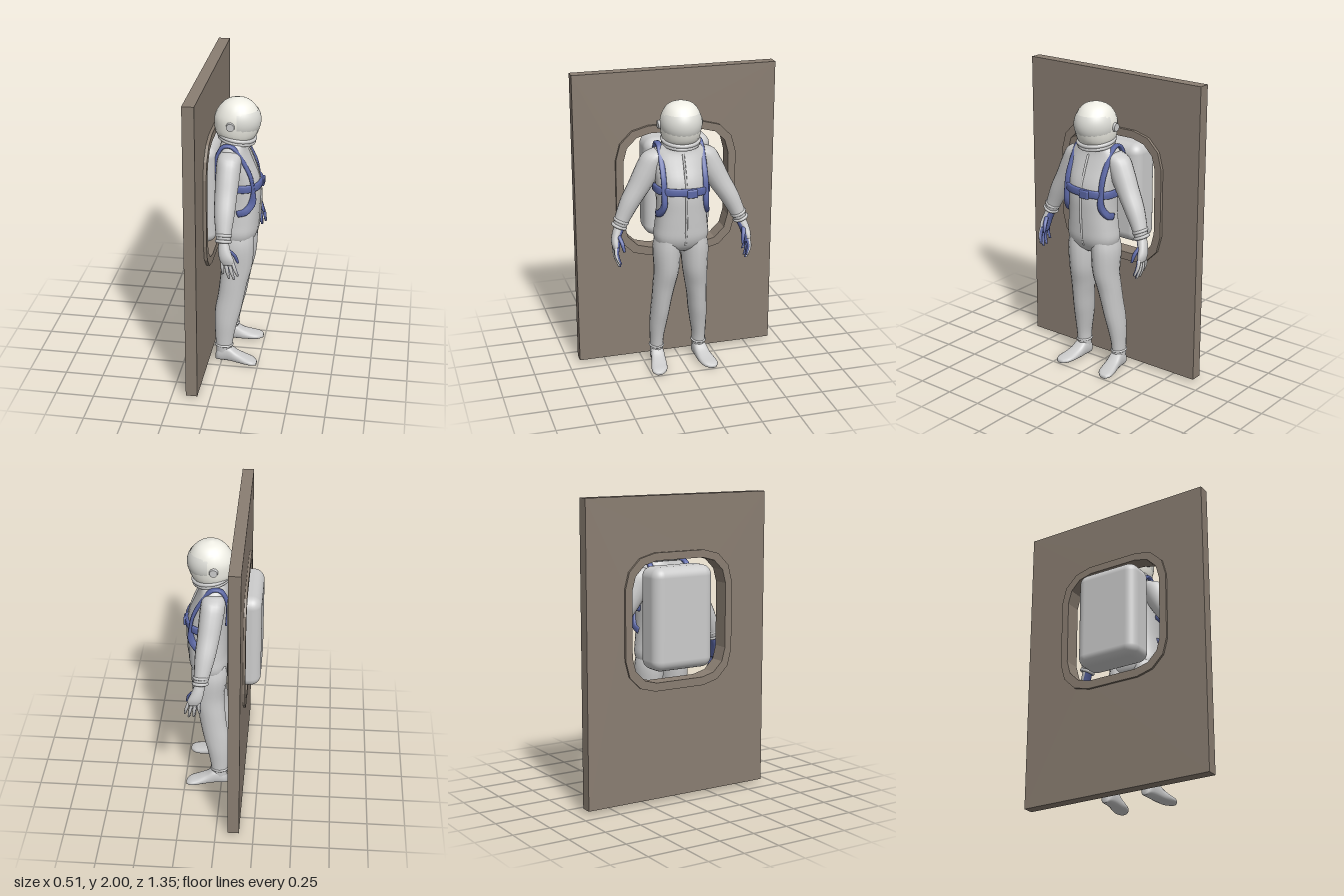
import * as THREE from 'three';
import { RoundedBoxGeometry } from 'three/addons/geometries/RoundedBoxGeometry.js';

const ZC = 0.015; // centre line of the figure
const V = (x, y, z) => new THREE.Vector3(x, y, z);
const mat = (color) => new THREE.MeshStandardMaterial({ color });
const grey = mat(0xcccccc), blue = mat(0x5c68a6), stone = mat(0x8a7e72), shell = mat(0xf0efe6);

function add(parent, name, geo, material, x = 0, y = 0, z = 0) {
  const m = new THREE.Mesh(geo, material);
  m.name = name;
  m.position.set(x, y, z);
  parent.add(m);
  return m;
}

// Smooth closed skin through cross-sections {c: centre, u, v: half axes}; power < 1 makes them boxier
function loft(rings, { steps = 4, seg = 16, power = 1 } = {}) {
  const curve = (k) => new THREE.CatmullRomCurve3(rings.map((r) => r[k]), false, 'catmullrom', 0.5);
  const cc = curve('c'), cu = curve('u'), cv = curve('v');
  const n = (rings.length - 1) * steps, pos = [], idx = [];
  const soft = (a) => Math.sign(a) * Math.abs(a) ** power;
  for (let i = -1; i <= n + 1; i++) {
    const t = Math.min(Math.max(i / n, 0), 1), k = i < 0 || i > n ? 0 : 1;
    const c = cc.getPoint(t), u = cu.getPoint(t), v = cv.getPoint(t);
    for (let j = 0; j < seg; j++) {
      const a = (j / seg) * Math.PI * 2;
      const p = c.clone().addScaledVector(u, k * soft(Math.cos(a))).addScaledVector(v, k * soft(Math.sin(a)));
      pos.push(p.x, Math.max(p.y, 0), p.z);
    }
  }
  const dir = rings[1].c.clone().sub(rings[0].c);
  const out = rings[0].u.clone().cross(rings[0].v).dot(dir) > 0;
  for (let i = 0; i < n + 2; i++) for (let j = 0; j < seg; j++) {
    const a = i * seg + j, b = i * seg + (j + 1) % seg, c = a + seg, d = b + seg;
    if (out) idx.push(a, b, c, b, d, c);
    else idx.push(a, c, b, b, c, d);
  }
  const g = new THREE.BufferGeometry();
  g.setAttribute('position', new THREE.Float32BufferAttribute(pos, 3));
  g.setIndex(idx);
  g.computeVertexNormals();
  return g;
}

// Horizontal section: y, centre x, centre z, half depth, half width
const flat = ([y, x, z, rx, rz]) => ({ c: V(x, y, z), u: V(rx, 0, 0), v: V(0, 0, rz) });
// Finger-like rod through points
const rod = (pts, r) => loft(pts.map((c, i) => {
  const k = i === pts.length - 1 ? 0.6 * r : r;
  return { c, u: V(k, 0, 0), v: V(0, 0, k) };
}), { seg: 8, steps: 3 });

// Rounded window outline with coarse corners
function outline(target, w, y0, y1, r) {
  const corners = [[w - r, y0 + r, -90], [w - r, y1 - r, 0], [r - w, y1 - r, 90], [r - w, y0 + r, 180]];
  const pts = [];
  for (const [x, y, a0] of corners) for (let i = 0; i <= 3; i++) {
    const a = THREE.MathUtils.degToRad(a0 + i * 30);
    pts.push(new THREE.Vector2(x + r * Math.cos(a), y + r * Math.sin(a)));
  }
  return target.setFromPoints(pts);
}

// Upright slab facing x, from x0 to x1
function slab(shape, x0, x1) {
  const g = new THREE.ExtrudeGeometry(shape, { depth: x1 - x0, bevelEnabled: false });
  return g.rotateY(Math.PI / 2).translate(x0, 0, 0);
}

function buildWall(g) {
  const W = 0.675;
  const panel = new THREE.Shape([[-W, 0.02], [W, 0.02], [W, 2], [-W, 2]].map((p) => new THREE.Vector2(...p)));
  panel.holes.push(outline(new THREE.Path(), 0.38, 0.77, 1.615, 0.21));
  add(g, 'wallPanel', slab(panel, -0.155, -0.08), stone);
  const frame = outline(new THREE.Shape(), 0.405, 0.745, 1.64, 0.22);
  frame.holes.push(outline(new THREE.Path(), 0.355, 0.8, 1.59, 0.18));
  add(g, 'hatchFrame', slab(frame, -0.17, -0.06), stone);
}

function buildHead(g) {
  const helmet = [[1.56, 0.085, 0.09, 0.1], [1.6, 0.072, 0.132, 0.122], [1.66, 0.075, 0.147, 0.132],
    [1.72, 0.077, 0.145, 0.131], [1.78, 0.078, 0.112, 0.108], [1.815, 0.078, 0.07, 0.072], [1.834, 0.075, 0.012, 0.012]];
  add(g, 'helmet', loft(helmet.map(([y, x, a, b]) => flat([y, x, 0.01, a, b])), { seg: 24 }), shell);
  const visor = new THREE.SphereGeometry(1, 24, 12, Math.PI * 0.52, Math.PI * 0.96, Math.PI * 0.33, Math.PI * 0.4);
  visor.scale(0.148, 0.138, 0.135);
  const v = add(g, 'visor', visor, grey, 0.08, 1.69, 0.01);
  v.material = new THREE.MeshStandardMaterial({ color: 0xdcdcd6, side: THREE.DoubleSide });
  for (const s of [-1, 1]) {
    add(g, 'visorHinge', new THREE.CylinderGeometry(0.026, 0.03, 0.02, 10).rotateX(s * Math.PI / 2), grey, 0.05, 1.68, 0.01 + s * 0.137);
  }
  for (const [y, r] of [[1.582, 0.118], [1.56, 0.112]]) {
    const ring = new THREE.TorusGeometry(r, 0.013, 8, 28).rotateX(Math.PI / 2).rotateZ(-0.17);
    add(g, 'neckRing', ring, grey, 0.072, y, 0.01);
  }
}

function buildTorso(g) {
  const rows = [[0.84, 0.085, 0.07, 0.05], [0.88, 0.085, 0.11, 0.15], [0.94, 0.092, 0.128, 0.18], [1.02, 0.098, 0.128, 0.173],
    [1.12, 0.1, 0.13, 0.163], [1.22, 0.1, 0.132, 0.163], [1.32, 0.092, 0.128, 0.168], [1.42, 0.07, 0.11, 0.182],
    [1.5, 0.057, 0.092, 0.178], [1.54, 0.06, 0.085, 0.14], [1.57, 0.07, 0.09, 0.1]];
  add(g, 'torso', loft(rows.map(([y, x, a, b]) => flat([y, x, ZC, a, b])), { seg: 28, power: 0.85 }), grey);
  const zip = [[0.205, 0.9], [0.223, 0.98], [0.232, 1.1], [0.234, 1.2], [0.222, 1.3], [0.184, 1.42], [0.15, 1.5]];
  const path = new THREE.CatmullRomCurve3(zip.map(([x, y]) => V(x, y, ZC)));
  add(g, 'frontZip', new THREE.TubeGeometry(path, 24, 0.008, 6), grey);
}

function buildHarness(g) {
  // shoulder straps, looping over the shoulder and back under the arm
  const line = [[-0.035, 1.3], [-0.04, 1.45], [0.0, 1.545], [0.07, 1.545], [0.13, 1.46], [0.18, 1.36], [0.198, 1.27], [0.195, 1.18], [0.155, 1.12], [0.1, 1.1]];
  for (const s of [-1, 1]) {
    const rings = line.map(([x, y], i) => {
      const a = line[Math.max(i - 1, 0)], b = line[Math.min(i + 1, line.length - 1)];
      const n = V(b[1] - a[1], a[0] - b[0], 0).normalize().multiplyScalar(i > 6 ? 0.024 : 0.012);
      return { c: V(x, y, ZC + s * (i > 7 ? 0.155 : 0.138)), u: n, v: V(0, 0, 0.018) };
    });
    add(g, 'shoulderStrap', loft(rings, { seg: 12, power: 0.6 }), blue);
  }
  // chest band around the front half
  const band = [];
  for (let i = 0; i <= 10; i++) {
    const a = -1.65 + i * 0.33, c = Math.cos(a), q = Math.sin(a);
    const x = 0.095 + 0.137 * Math.sign(c) * Math.abs(c) ** 0.8, z = ZC + 0.175 * Math.sign(q) * Math.abs(q) ** 0.85;
    band.push({ c: V(x, 1.268 + 0.01 * q, z), u: V(c, 0, q).multiplyScalar(0.012), v: V(0, 0.026, 0) });
  }
  add(g, 'chestBand', loft(band, { seg: 12, power: 0.6 }), blue);
  add(g, 'chestBuckle', new RoundedBoxGeometry(0.03, 0.055, 0.07, 2, 0.008), blue, 0.237, 1.26, -0.02);
}

function buildArm(g, s) {
  const arm = new THREE.Group();
  arm.name = s > 0 ? 'rearArm' : 'foreArm';
  arm.name = s > 0 ? 'armA' : 'armB';
  g.add(arm);
  // one arm swings slightly further forward
  const P = (x, y, z) => V(x + (s < 0 ? Math.max(0, z - 0.15) * 0.26 : 0), y, ZC + s * z);
  const sec = ([y, x, z, rx, rz]) => ({ c: P(x, y, z), u: V(rx, 0, 0), v: V(0, s * rz * 0.45, rz) });
  const sleeve = [[1.5, 0.05, 0.11, 0.07, 0.055], [1.46, 0.048, 0.165, 0.078, 0.072], [1.38, 0.046, 0.21, 0.077, 0.074],
    [1.28, 0.044, 0.265, 0.072, 0.066], [1.18, 0.044, 0.325, 0.066, 0.058], [1.09, 0.046, 0.37, 0.054, 0.048], [1.02, 0.05, 0.4, 0.046, 0.04]];
  add(arm, 'sleeve', loft(sleeve.map(sec)), grey);
  for (const [y, z, r] of [[1.055, 0.387, 0.043], [1.02, 0.402, 0.043]]) {
    const c = P(0.05, y, z);
    add(arm, 'cuff', new THREE.TorusGeometry(r, 0.011, 8, 20).rotateX(Math.PI / 2 - s * 0.4), grey, c.x, c.y, c.z);
  }
  // glove: grey back, blue palm side
  const palm = [[1.02, 0.05, 0.4, 0.032, 0.03], [0.96, 0.06, 0.425, 0.04, 0.026], [0.91, 0.075, 0.436, 0.046, 0.024], [0.87, 0.085, 0.437, 0.04, 0.016]];
  add(arm, 'gloveBack', loft(palm.map(sec)), grey);
  const inner = palm.map(([y, x, z, a, b]) => [y, x, z - 0.012, a * 0.9, b * 0.8]);
  add(arm, 'glovePalm', loft(inner.map(sec)), blue);
  // fingers: root x, root y, tip x, tip y
  const fingers = [[0.048, 0.895, 0.05, 0.8], [0.07, 0.885, 0.088, 0.77], [0.092, 0.885, 0.12, 0.765], [0.112, 0.895, 0.145, 0.79]];
  for (const [x0, y0, x1, y1] of fingers) {
    for (const [name, d, m] of [['finger', 0, grey], ['fingerPad', 0.007, blue]]) {
      const pts = [P(x0, y0, 0.438 - d), P((x0 + x1) / 2, (y0 + y1) / 2, 0.44 - d), P(x1, y1, 0.422 - d)];
      add(arm, name, rod(pts, 0.011), m);
    }
  }
  add(arm, 'thumb', rod([P(0.08, 0.97, 0.415), P(0.12, 0.925, 0.4), P(0.14, 0.87, 0.39)], 0.014), blue);
}

function buildLeg(g, s) {
  const leg = new THREE.Group();
  leg.name = s > 0 ? 'legA' : 'legB';
  g.add(leg);
  const rows = [[0.95, 0.088, 0.09, 0.11, 0.075], [0.85, 0.085, 0.095, 0.118, 0.09], [0.7, 0.088, 0.097, 0.103, 0.083], [0.58, 0.07, 0.11, 0.092, 0.074],
    [0.48, 0.055, 0.121, 0.088, 0.066], [0.38, 0.037, 0.13, 0.087, 0.062], [0.28, 0.024, 0.14, 0.075, 0.056],
    [0.18, 0.016, 0.147, 0.062, 0.046], [0.1, 0.014, 0.148, 0.054, 0.044], [0.03, 0.012, 0.148, 0.05, 0.042]];
  add(leg, 'trouserLeg', loft(rows.map(([y, x, z, a, b]) => flat([y, x, ZC + s * z, a, b]))), grey);
  // boot sections along x: x, z, height, half width
  const boot = [[-0.043, 0.147, 0.05, 0.018], [-0.02, 0.147, 0.09, 0.04], [0.04, 0.15, 0.115, 0.046], [0.1, 0.157, 0.075, 0.05],
    [0.16, 0.168, 0.05, 0.055], [0.21, 0.178, 0.036, 0.05], [0.24, 0.185, 0.022, 0.024]];
  const rings = boot.map(([x, z, h, w]) => ({ c: V(x, h / 2, ZC + s * z), u: V(0, h / 2, 0), v: V(0, 0, w) }));
  add(leg, 'boot', loft(rings, { power: 0.75 }), grey);
  const cuff = new THREE.TorusGeometry(0.047, 0.008, 8, 20).rotateX(Math.PI / 2).scale(1.15, 1, 0.95);
  add(leg, 'ankleCuff', cuff, grey, 0.014, 0.12, ZC + s * 0.148);
}

export function createModel() {
  const root = new THREE.Group();
  root.name = 'suitOnHatchWall';
  buildWall(root);
  add(root, 'backpack', new RoundedBoxGeometry(0.22, 0.67, 0.445, 5, 0.068), grey, -0.148, 1.215, -0.01);
  const suit = new THREE.Group();
  suit.name = 'suit';
  root.add(suit);
  buildHead(suit);
  buildTorso(suit);
  buildHarness(suit);
  for (const s of [-1, 1]) {
    buildArm(suit, s);
    buildLeg(suit, s);
  }
  return root;
}
